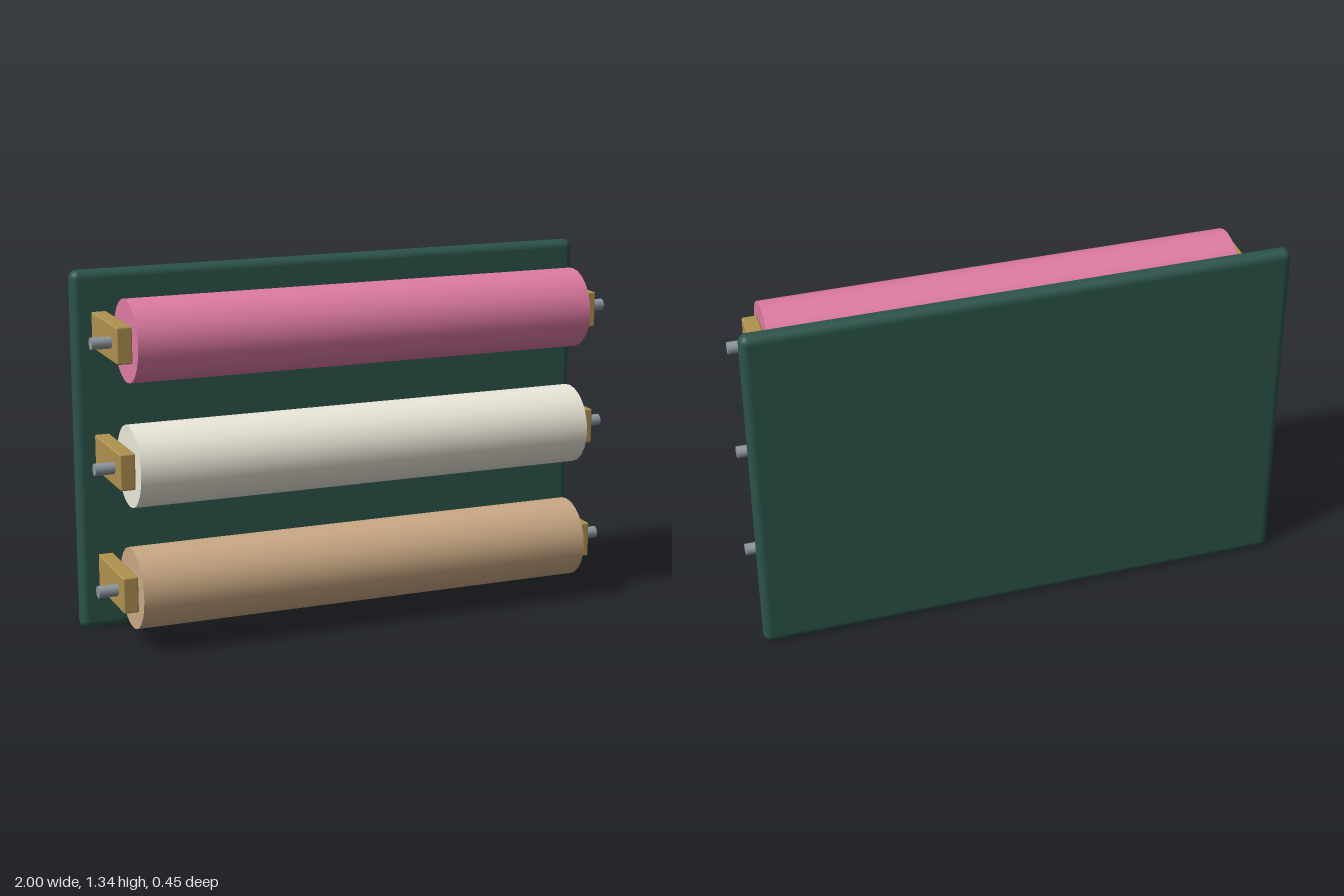
import * as THREE from 'three';
import { RoundedBoxGeometry } from 'three/addons/geometries/RoundedBoxGeometry.js';

const material = (color) => new THREE.MeshStandardMaterial({ color });

export function createModel() {
  const group = new THREE.Group();
  const green = material(0x2c544a);
  const wood = material(0xb0924f);
  const steel = material(0x8c979f);

  function add(parent, name, geometry, mat, x, y, z) {
    const mesh = new THREE.Mesh(geometry, mat);
    mesh.name = name;
    mesh.position.set(x, y, z);
    parent.add(mesh);
    return mesh;
  }

  // Back board with rounded edges
  add(group, 'backBoard', new RoundedBoxGeometry(2, 1.335, 0.064, 4, 0.03), green, 0, 0.6675, -0.191);

  // Shared shapes, cylinders lying along x
  const rollGeometry = new THREE.CylinderGeometry(0.148, 0.148, 1.746, 24).rotateZ(Math.PI / 2);
  const rodGeometry = new THREE.CylinderGeometry(0.022, 0.022, 2, 16).rotateZ(Math.PI / 2);
  const bracketGeometry = new RoundedBoxGeometry(0.056, 0.132, 0.328, 2, 0.006);

  // Three paper rolls, each on a rod held by two brackets
  const rolls = [
    ['tanRoll', 0xcaa985],
    ['creamRoll', 0xece8da],
    ['pinkRoll', 0xe07ba4],
  ];
  rolls.forEach(([name, color], i) => {
    const holder = new THREE.Group();
    holder.name = name + 'Holder';
    holder.position.set(0, 0.22 + i * 0.45, 0.076);
    add(holder, name, rollGeometry, material(color), 0, 0, 0);
    add(holder, 'rod', rodGeometry, steel, 0, 0, 0);
    add(holder, 'leftBracket', bracketGeometry, wood, 0.901, 0, -0.082);
    add(holder, 'rightBracket', bracketGeometry, wood, -0.901, 0, -0.082);
    group.add(holder);
  });

  return group;
}
